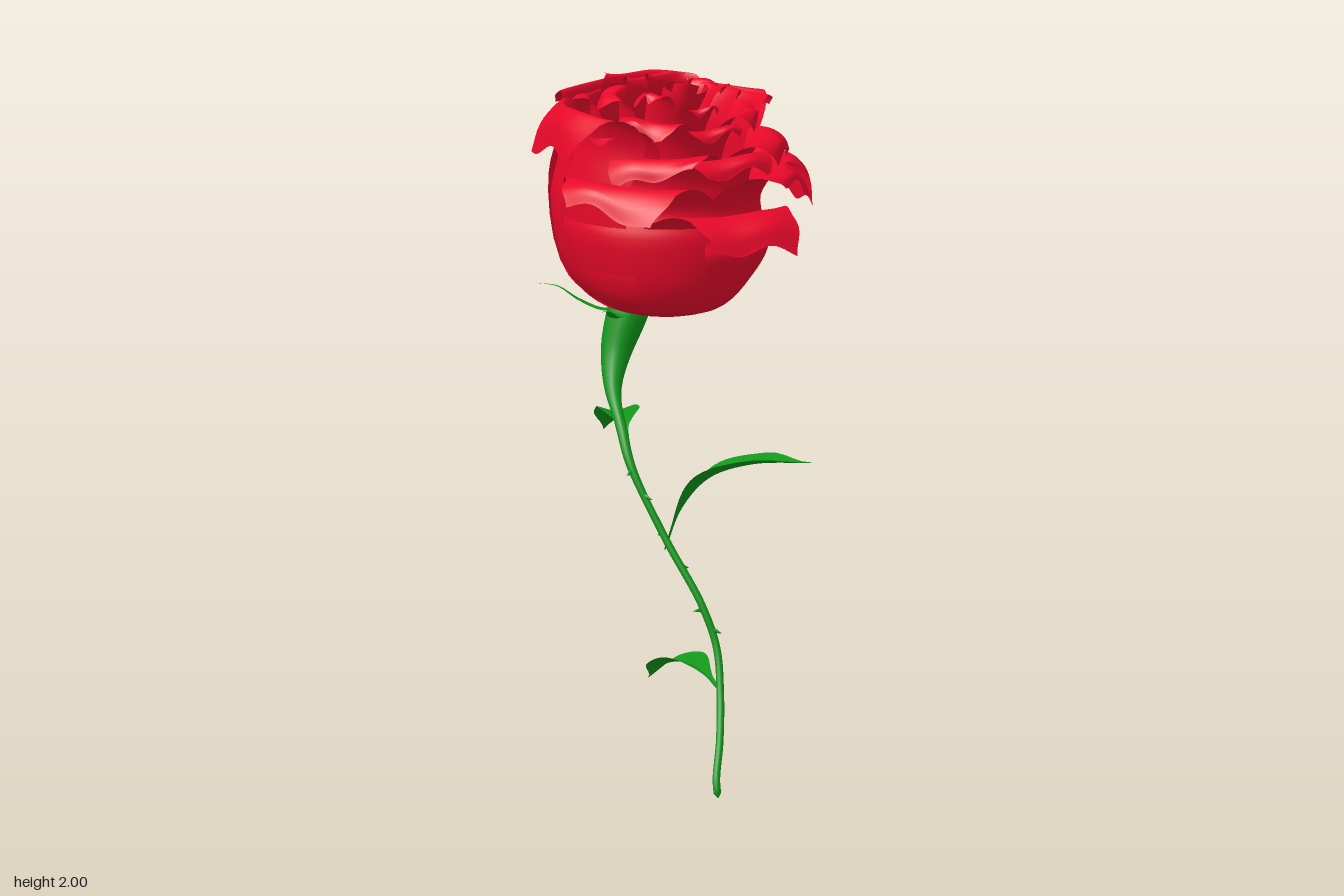
import * as THREE from 'three';
import { ParametricGeometry } from 'three/addons/geometries/ParametricGeometry.js';

const V = (x, y, z) => new THREE.Vector3(x, y, z);
const red = new THREE.MeshStandardMaterial({ color: 0xe8082a, side: THREE.DoubleSide });
const green = new THREE.MeshStandardMaterial({ color: 0x12961a, side: THREE.DoubleSide });
const curve = (pts) => new THREE.CatmullRomCurve3(pts.map((p) => V(...p)));
const smooth = THREE.MathUtils.smoothstep;

function add(parent, name, geometry, material) {
  const mesh = new THREE.Mesh(geometry, material);
  mesh.name = name;
  parent.add(mesh);
  return mesh;
}

// Smooth interpolation through [position, value] keys
function keyed(keys, t) {
  for (let i = 1; i < keys.length; i++) {
    const [a, p] = keys[i - 1], [b, q] = keys[i];
    if (t <= b) return p + (q - p) * smooth(t, a, b);
  }
  return keys[keys.length - 1][1];
}

// Point around the bowed flower axis; angle 0 faces the front
function around(target, angle, r, y) {
  const t = (y - 1.31) / 0.69;
  const cz = -0.08 - 0.29 * t + 0.31 * t * t;
  return target.set(-0.05 + 0.06 * t + Math.sin(angle) * r, y, cz + Math.cos(angle) * r);
}

// A cupped petal with a lip rolled outward and tilted a little to one side
const petalWidth = [[0, 0.2], [0.35, 0.9], [0.58, 1], [0.8, 0.66], [1, 0.5]];
function petal(angle, body, top, tip, droop) {
  const d = tip - body;
  const profile = curve([
    [0.03, 1.312, 0], [body * 0.54, 1.34, 0], [body * 0.82, 1.42, 0],
    [body, 1.31 + (top - 1.31) * 0.6, 0], [body * 0.98, top - 0.08, 0],
    [body + d * 0.45, top, 0], [body + d * 0.88, top - droop * 0.35, 0], [tip, top - droop, 0],
  ]);
  const tilt = 0.14 * body * Math.sin(angle * 7);
  return new ParametricGeometry((s, v, target) => {
    const u = s * 2 - 1;
    const p = profile.getPoint(v);
    const lip = smooth(v, 0.6, 1);
    const half = Math.min(1.1, (0.85 * body * keyed(petalWidth, v)) / p.x);
    const r = p.x + 0.04 * body * u * smooth(v, 0, 0.4) + lip * 0.06 * body * u * u;
    const y = p.y + lip * (0.014 * Math.sin(u * 4 + angle * 3) + tilt * u - 0.04 * body * u * u);
    around(target, angle + u * half, r, y);
  }, 20, 32);
}

// A pointed blade that follows a path, folded along its middle
function blade(points, halfWidth, fold, widthKeys) {
  const path = curve(points);
  const dir = path.getPoint(1).sub(path.getPoint(0)).setY(0).normalize();
  const side = V(dir.z, 0, -dir.x);
  return new ParametricGeometry((s, v, target) => {
    const u = s * 2 - 1;
    const w = halfWidth * keyed(widthKeys, v);
    const up = side.clone().cross(path.getTangent(v));
    if (up.y < 0) up.negate();
    target.copy(path.getPoint(v)).addScaledVector(side, u * w)
      .addScaledVector(up, Math.abs(u) * w * fold);
  }, 8, 24);
}

export function createModel() {
  const rose = new THREE.Group();
  rose.name = 'rose';

  // Stem: a tube swelling into the cup under the bloom
  const stemPath = curve([
    [-0.24, 0, 0.425], [-0.235, 0.05, 0.41], [-0.19, 0.15, 0.365], [-0.14, 0.28, 0.3],
    [-0.12, 0.4, 0.255], [-0.14, 0.52, 0.21], [-0.19, 0.7, 0.105], [-0.235, 0.9, 0],
    [-0.225, 1, -0.06], [-0.2, 1.1, -0.135], [-0.155, 1.2, -0.18], [-0.1, 1.335, -0.185],
  ]);
  const segments = 100, sides = 14;
  const stem = new THREE.TubeGeometry(stemPath, segments, 1, sides);
  const pos = stem.attributes.position, v = V(0, 0, 0);
  const stemRadius = [[0, 0.011], [0.6, 0.011], [0.76, 0.016], [1, 0.06]];
  for (let i = 0; i <= segments; i++) {
    const c = stemPath.getPointAt(i / segments);
    const r = i === 0 ? 0 : keyed(stemRadius, i / segments);
    for (let j = 0; j <= sides; j++) {
      const k = i * (sides + 1) + j;
      v.fromBufferAttribute(pos, k).sub(c).multiplyScalar(r).add(c);
      pos.setXYZ(k, v.x, Math.max(v.y, 0), v.z);
    }
  }
  stem.computeVertexNormals();
  add(rose, 'stem', stem, green);

  // Leaves: [path, half width]
  const leafShape = [[0, 0.1], [0.12, 0.15], [0.52, 1], [0.8, 0.8], [1, 0.03]];
  const leaves = [
    [[[-0.22, 0.97, -0.04], [-0.19, 1.005, -0.1], [-0.13, 1.01, -0.2], [-0.08, 0.99, -0.3], [-0.06, 0.93, -0.37]], 0.06],
    [[[-0.19, 0.67, 0.105], [-0.155, 0.79, 0.135], [-0.1, 0.88, 0.19], [-0.03, 0.93, 0.3], [0.065, 0.95, 0.465]], 0.078],
    [[[-0.14, 0.28, 0.3], [-0.145, 0.325, 0.23], [-0.14, 0.34, 0.14], [-0.155, 0.325, 0.06], [-0.18, 0.28, 0.01]], 0.065],
  ];
  for (const [points, width] of leaves) add(rose, 'leaf', blade(points, width, 0.32, leafShape), green);

  // Thorns: [position along the stem, direction around it]
  for (const [t, a] of [[0.27, 2.6], [0.33, 0.4], [0.37, -2.6], [0.46, 1.8], [0.53, 3], [0.61, 0.2], [0.66, -1.2]]) {
    const thorn = add(rose, 'thorn', new THREE.ConeGeometry(0.009, 0.032, 6), green);
    const out = V(Math.sin(a), -0.25, Math.cos(a)).normalize();
    thorn.position.copy(stemPath.getPointAt(t)).addScaledVector(out, 0.02);
    thorn.quaternion.setFromUnitVectors(V(0, 1, 0), out);
  }

  // Sepals spreading beneath the bloom
  const sepalShape = [[0, 1], [0.35, 0.8], [1, 0.05]];
  for (let i = 0; i < 5; i++) {
    const a = 0.3 + (i * Math.PI * 2) / 5;
    const at = (r, y) => [-0.1 + Math.sin(a) * r, y, -0.185 + Math.cos(a) * r];
    const rise = Math.cos(a) > 0.2 ? 0 : 0.035;
    add(rose, 'sepal', blade([at(0.02, 1.315), at(0.08, 1.31), at(0.15, 1.315 + rise * 0.7),
      at(0.21, 1.345 + rise), at(0.27, 1.355 + rise)], 0.026, 0.2, sepalShape), green);
  }

  // Petals from outside in: [angle, body radius, top height, tip radius, droop]
  const rings = {
    outerPetal: [
      [-0.02, 0.305, 1.65, 0.48, 0.09], [-1.0, 0.31, 1.74, 0.44, 0.07], [-1.75, 0.305, 1.93, 0.385, 0.12],
      [-2.5, 0.31, 1.86, 0.33, 0.02], [3.2, 0.315, 1.94, 0.36, 0.04], [2.25, 0.305, 1.91, 0.4, 0.08],
      [1.35, 0.295, 1.75, 0.435, 0.14], [0.72, 0.29, 1.73, 0.4, 0.04],
    ],
    middlePetal: [
      [0.02, 0.245, 1.8, 0.34, 0.04], [-0.75, 0.25, 1.81, 0.35, 0.05], [-1.6, 0.23, 1.88, 0.3, 0.05],
      [-2.45, 0.24, 1.94, 0.29, 0.04], [3, 0.225, 1.97, 0.27, 0.03], [1.75, 0.235, 1.92, 0.3, 0.05],
      [0.88, 0.24, 1.82, 0.34, 0.05],
    ],
    innerPetal: [
      [0.05, 0.16, 1.87, 0.22, 0.02], [-1.05, 0.165, 1.9, 0.24, 0.03], [-2.2, 0.16, 1.95, 0.23, 0.03],
      [3.05, 0.15, 1.97, 0.21, 0.03], [2, 0.165, 1.94, 0.24, 0.03], [1, 0.16, 1.9, 0.24, 0.03],
    ],
    corePetal: [
      [0.05, 0.095, 1.92, 0.13, 0.01], [-1.5, 0.09, 1.96, 0.14, 0.015], [3.1, 0.095, 1.99, 0.14, 0.02],
      [1.5, 0.09, 1.96, 0.14, 0.015],
    ],
  };
  const bloom = new THREE.Group();
  bloom.name = 'bloom';
  rose.add(bloom);
  for (const [name, list] of Object.entries(rings))
    for (const p of list) add(bloom, name, petal(...p), red);

  // Rolled heart at the centre, above a solid bud that closes the cup
  add(bloom, 'heart', new ParametricGeometry((s, t, target) => {
    const flare = 1 + 0.25 * smooth(t, 0.7, 1);
    around(target, s * Math.PI * 4.5, (0.01 + 0.05 * s) * flare, 1.6 + t * (0.39 - 0.03 * s + 0.008 * Math.sin(s * 20)));
  }, 64, 12), red);
  add(bloom, 'bud', new ParametricGeometry((s, t, target) => {
    around(target, s * Math.PI * 2, 0.14 * Math.sin(t * Math.PI), 1.62 - 0.27 * Math.cos(t * Math.PI));
  }, 24, 16), red);

  return rose;
}
